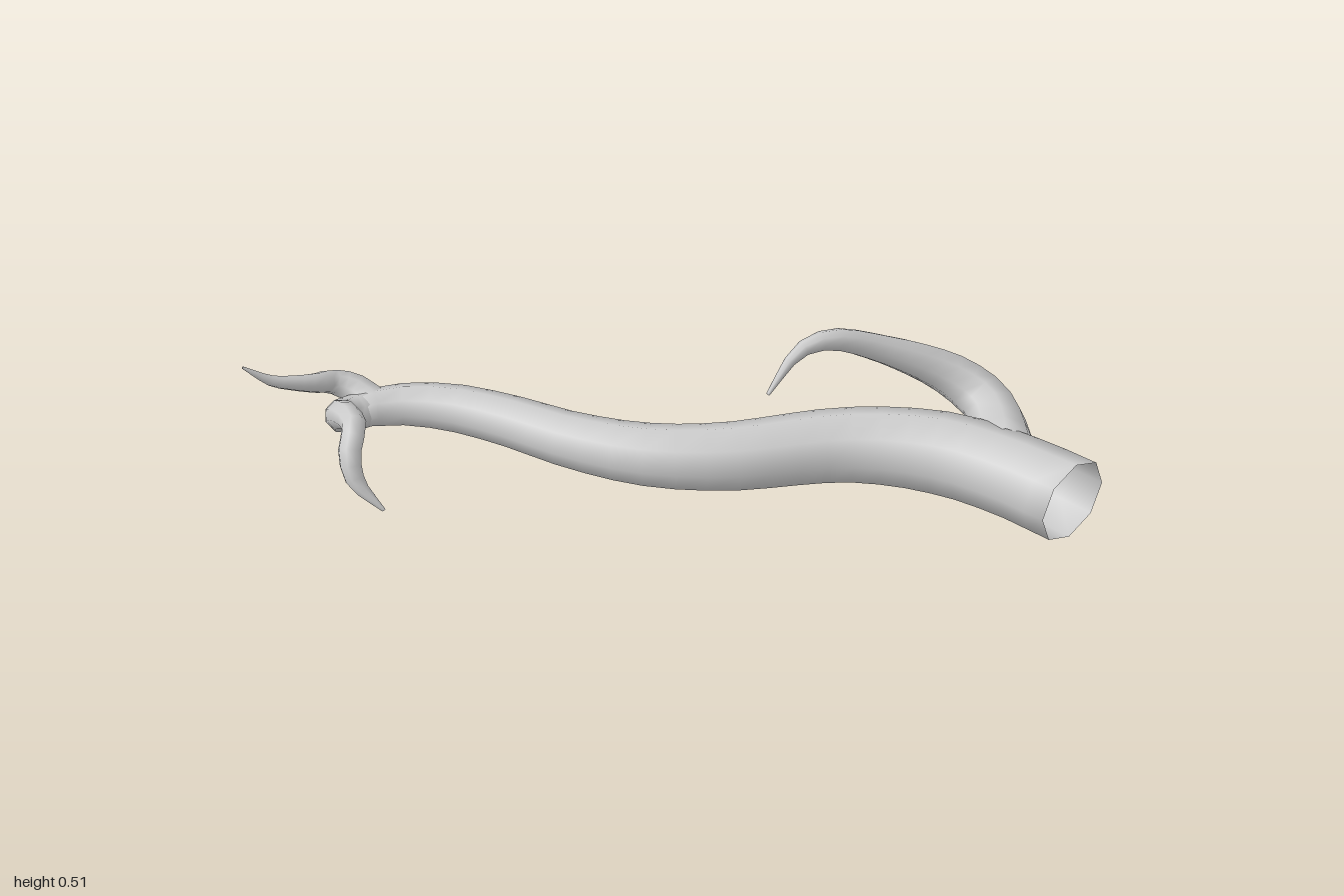
import * as THREE from 'three';

const SIDES = 8;
const material = new THREE.MeshStandardMaterial({ color: 0xcccccc, side: THREE.DoubleSide });

// Tapered limb swept along a smooth path; each stop is [x, y, z, radius].
// The start stays open, the far end closes to a point.
function limb(name, stops, rings, flatStart = false) {
  const curve = new THREE.CatmullRomCurve3(stops.map(([x, y, z]) => new THREE.Vector3(x, y, z)));
  const frames = curve.computeFrenetFrames(rings);
  const positions = [];
  const index = [];

  for (let i = 0; i <= rings; i++) {
    const t = curve.getUtoTmapping(i / rings);
    const centre = curve.getPoint(t);
    const s = t * (stops.length - 1);
    const k = Math.min(Math.floor(s), stops.length - 2);
    const radius = THREE.MathUtils.lerp(stops[k][3], stops[k + 1][3], s - k);
    for (let j = 0; j < SIDES; j++) {
      const a = (j / SIDES) * Math.PI * 2;
      const p = centre.clone()
        .addScaledVector(frames.normals[i], radius * Math.cos(a))
        .addScaledVector(frames.binormals[i], radius * Math.sin(a));
      if (flatStart && i === 0) p.z = centre.z;
      positions.push(p.x, p.y, p.z);
    }
  }

  // Skin between neighbouring rings
  for (let i = 0; i < rings; i++) {
    for (let j = 0; j < SIDES; j++) {
      const a = i * SIDES + j;
      const b = i * SIDES + (j + 1) % SIDES;
      index.push(a, b, a + SIDES, b, b + SIDES, a + SIDES);
    }
  }

  // Closed tip
  const tip = curve.getPoint(1);
  positions.push(tip.x, tip.y, tip.z);
  const last = rings * SIDES;
  for (let j = 0; j < SIDES; j++) index.push(last + j, last + (j + 1) % SIDES, last + SIDES);

  const geometry = new THREE.BufferGeometry();
  geometry.setAttribute('position', new THREE.Float32BufferAttribute(positions, 3));
  geometry.setIndex(index);
  geometry.computeVertexNormals();
  const mesh = new THREE.Mesh(geometry, material);
  mesh.name = name;
  return mesh;
}

export function createModel() {
  const group = new THREE.Group();
  group.name = 'branch';

  // Main bough, hollow at the cut end
  group.add(limb('mainBough', [
    [0.72, 0.14, 1, 0.14],
    [0.68, 0.145, 0.8, 0.135],
    [0.60, 0.145, 0.57, 0.133],
    [0.42, 0.143, 0.34, 0.12],
    [0.08, 0.143, 0.11, 0.108],
    [-0.09, 0.145, -0.06, 0.1],
    [-0.21, 0.145, -0.27, 0.09],
    [-0.29, 0.145, -0.48, 0.083],
    [-0.38, 0.145, -0.66, 0.077],
    [-0.49, 0.145, -0.785, 0.068],
    [-0.59, 0.147, -0.84, 0.06],
    [-0.65, 0.16, -0.84, 0.045],
  ], 26, true));

  // Hooked side branch near the cut end
  group.add(limb('sideBranch', [
    [0.73, 0.155, 0.70, 0.105],
    [0.80, 0.17, 0.62, 0.092],
    [0.84, 0.19, 0.54, 0.084],
    [0.84, 0.215, 0.47, 0.08],
    [0.79, 0.27, 0.39, 0.07],
    [0.61, 0.39, 0.285, 0.047],
    [0.43, 0.478, 0.215, 0.034],
    [0.33, 0.467, 0.187, 0.023],
    [0.205, 0.36, 0.18, 0.006],
  ], 18));

  // Drooping twig at the far fork
  group.add(limb('droopingTwig', [
    [-0.58, 0.145, -0.84, 0.06],
    [-0.67, 0.165, -0.835, 0.058],
    [-0.735, 0.235, -0.77, 0.05],
    [-0.77, 0.295, -0.69, 0.045],
    [-0.80, 0.315, -0.61, 0.039],
    [-0.86, 0.265, -0.56, 0.037],
    [-0.873, 0.19, -0.52, 0.031],
    [-0.84, 0.11, -0.43, 0.006],
  ], 16));

  // Rising twig at the far fork
  group.add(limb('risingTwig', [
    [-0.56, 0.155, -0.84, 0.056],
    [-0.58, 0.185, -0.91, 0.05],
    [-0.63, 0.215, -0.95, 0.04],
    [-0.70, 0.25, -0.94, 0.033],
    [-0.78, 0.285, -0.95, 0.025],
    [-0.85, 0.32, -0.965, 0.018],
    [-0.93, 0.393, -0.998, 0.004],
  ], 14));

  return group;
}
